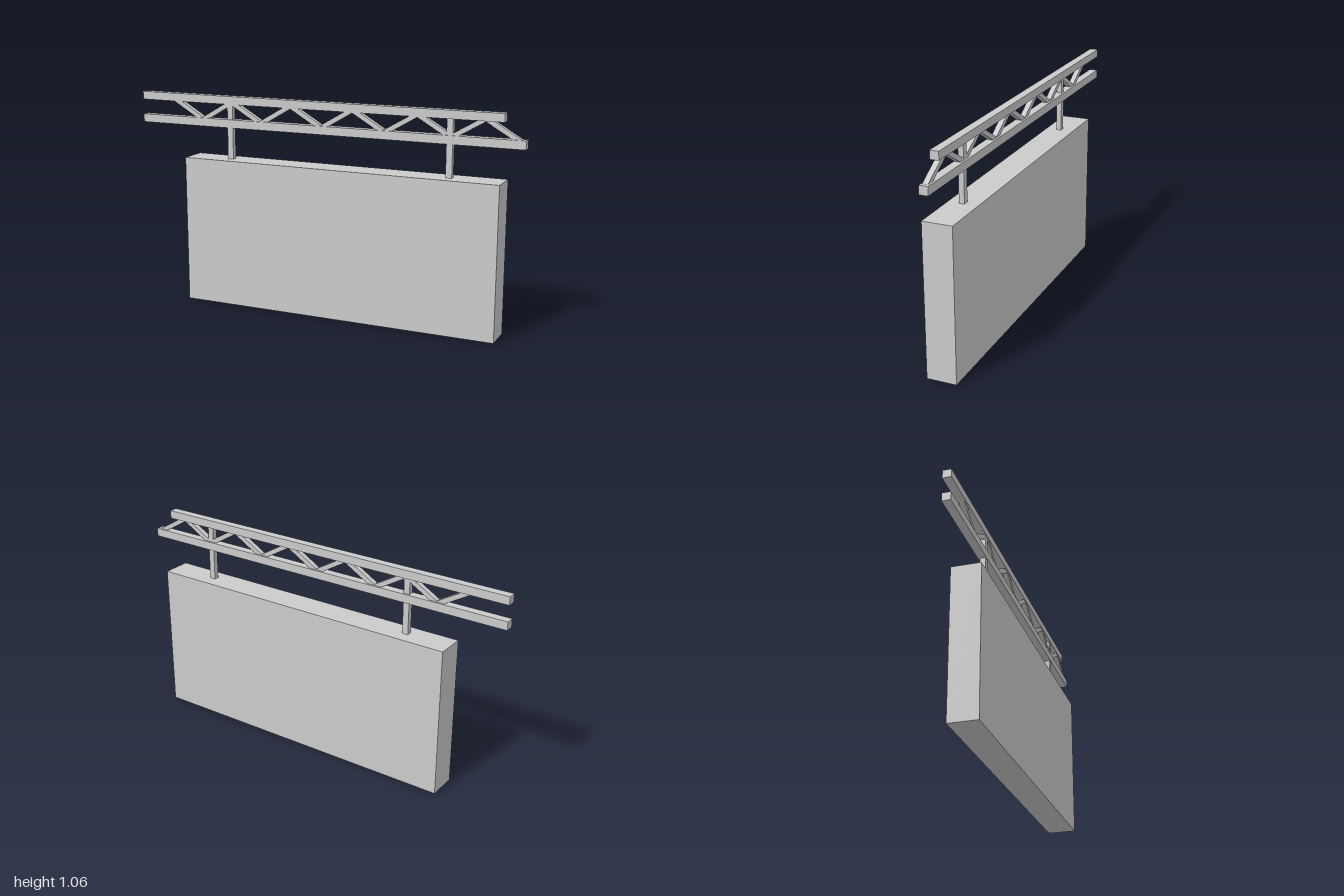
import * as THREE from 'three';

const material = new THREE.MeshStandardMaterial({ color: 0xcccccc, flatShading: true });

// Box given by its extents on x and y, plus depth and centre on z
function block(name, x0, x1, y0, y1, depth, z) {
  const mesh = new THREE.Mesh(new THREE.BoxGeometry(x1 - x0, y1 - y0, depth), material);
  mesh.name = name;
  mesh.position.set((x0 + x1) / 2, (y0 + y1) / 2, z);
  return mesh;
}

// Square bar laid between two points in the xy plane
function brace(xa, ya, xb, yb) {
  const length = Math.hypot(xb - xa, yb - ya);
  const mesh = new THREE.Mesh(new THREE.BoxGeometry(length, 0.023, 0.026), material);
  mesh.name = 'diagonalBrace';
  mesh.position.set((xa + xb) / 2, (ya + yb) / 2, 0.004);
  mesh.rotation.z = Math.atan2(yb - ya, xb - xa);
  return mesh;
}

export function createModel() {
  const model = new THREE.Group();
  model.name = 'hangingSign';

  // Sign panel
  model.add(block('signPanel', -0.727, 0.9, 0, 0.745, 0.144, 0));

  // Hanger posts from the panel up to the top rail
  for (const x of [-0.496, 0.645]) {
    model.add(block('hangerPost', x - 0.015, x + 0.015, 0.74, 1.03, 0.026, 0.004));
  }

  // Truss: two rails joined by zigzag braces
  const truss = new THREE.Group();
  truss.name = 'truss';
  truss.add(block('topRail', -1, 0.9, 1.02, 1.06, 0.042, 0.002));
  truss.add(block('bottomRail', -1, 1, 0.903, 0.944, 0.042, 0.002));
  const step = 0.1625, high = 1.03, low = 0.935;
  for (let i = 0; i < 11; i++) {
    const x = -0.813 + i * step;
    const down = i % 2 === 0;
    truss.add(brace(x, down ? high : low, x + step, down ? low : high));
  }
  model.add(truss);
  return model;
}
